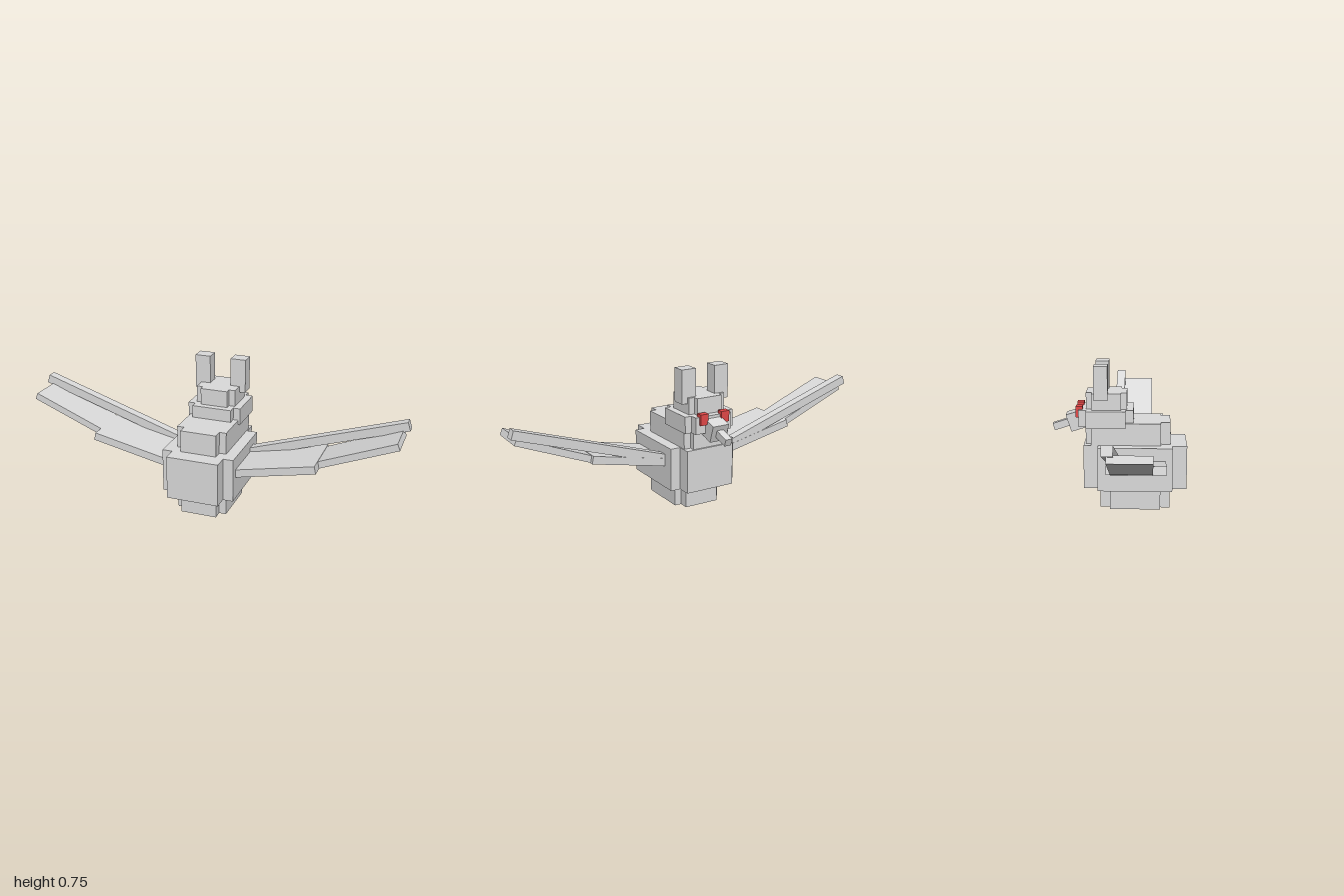
import * as THREE from 'three';

const grey = new THREE.MeshStandardMaterial({ color: 0xdbdbdb });
grey.name = 'stone grey';
const red = new THREE.MeshStandardMaterial({ color: 0xe44848 });
red.name = 'eye red';

export function createModel() {
  const model = new THREE.Group();
  model.name = 'blockBat';

  const add = (name, geometry, material = grey) => {
    const mesh = new THREE.Mesh(geometry, material);
    mesh.name = name;
    model.add(mesh);
    return mesh;
  };

  // Block with notched corners: wide part (w1, zA..zB), narrow part (w2, za..zb)
  const notched = (name, y0, y1, w1, zA, zB, w2, za, zb) => {
    const half = [[w2, za], [w2, zA], [w1, zA], [w1, zB], [w2, zB], [w2, zb]];
    const outline = [...half, ...half.map(([x, z]) => [-x, z]).reverse()];
    const shape = new THREE.Shape(outline.map(([x, z]) => new THREE.Vector2(x, -z)));
    const geometry = new THREE.ExtrudeGeometry(shape, { depth: y1 - y0, bevelEnabled: false });
    geometry.rotateX(-Math.PI / 2);
    add(name, geometry).position.y = y0;
  };

  // Stacked body and head
  notched('base', 0, 0.114, 0.132, -0.045, 0.216, 0.095, -0.097, 0.266);
  notched('body', 0.114, 0.341, 0.19, -0.106, 0.276, 0.137, -0.18, 0.351);
  notched('neck', 0.341, 0.455, 0.132, -0.141, 0.216, 0.095, -0.171, 0.266);
  notched('head', 0.431, 0.519, 0.142, -0.168, 0.035, 0.105, -0.208, 0.075);
  notched('crown', 0.519, 0.605, 0.105, -0.141, 0.01, 0.072, -0.171, 0.04);

  // Ears and eyes
  for (const [side, s] of [['left', 1], ['right', -1]]) {
    add(side + 'Ear', new THREE.BoxGeometry(0.081, 0.177, 0.071))
      .position.set(s * 0.0965, 0.6625, -0.0925);
    add(side + 'Eye', new THREE.BoxGeometry(0.046, 0.057, 0.035), red)
      .position.set(s * 0.0615, 0.5065, -0.2055);
  }

  // Snout and beak, tilted down; placed by the centre of the front end
  const tilt = THREE.MathUtils.degToRad(18);
  const muzzle = (name, size, length, y, z) => {
    const geometry = new THREE.BoxGeometry(size, size, length).translate(0, 0, length / 2);
    const mesh = add(name, geometry);
    mesh.position.set(0, y, z);
    mesh.rotation.x = -tilt;
  };
  muzzle('snout', 0.094, 0.11, 0.437, -0.2635);
  muzzle('beak', 0.038, 0.12, 0.4115, -0.344);

  // Wing panels, placed by the centre of the outer end
  const panel = (name, s, x, y, degrees, length, thick, z0, z1) => {
    const geometry = new THREE.BoxGeometry(length, thick, z1 - z0)
      .translate(-s * length / 2, 0, (z0 + z1) / 2);
    const mesh = add(name, geometry);
    mesh.position.set(s * x, y, 0);
    mesh.rotation.z = s * THREE.MathUtils.degToRad(degrees);
  };
  for (const [side, s] of [['left', 1], ['right', -1]]) {
    panel(side + 'WingArm', s, 0.9935, 0.5335, 18, 0.89, 0.046, -0.044, 0.006);
    panel(side + 'WingInner', s, 0.595, 0.3385, 11.9, 0.47, 0.041, -0.045, 0.239);
    panel(side + 'WingOuter', s, 0.9735, 0.4915, 22, 0.446, 0.036, -0.025, 0.173);
  }
  return model;
}
